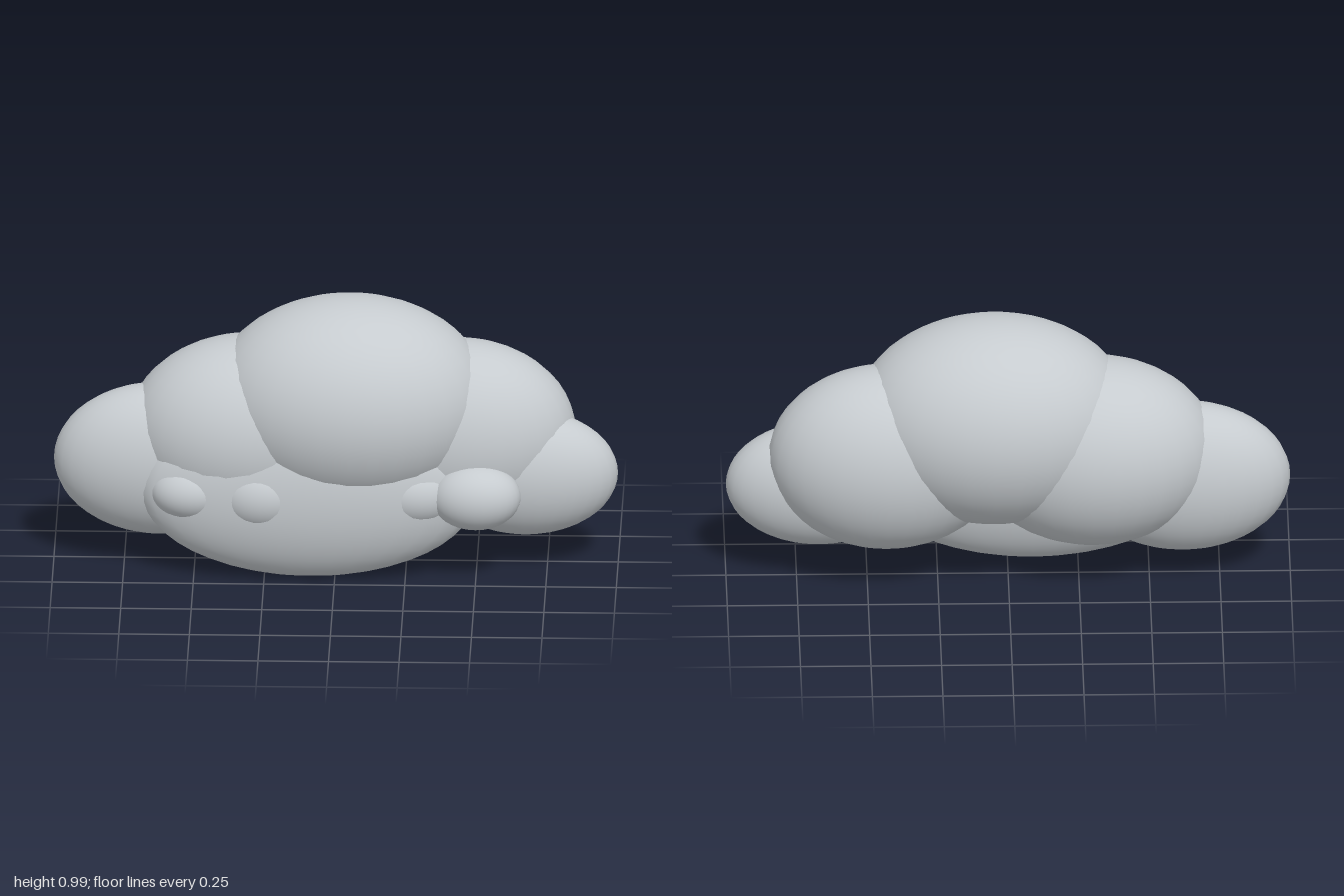
import * as THREE from 'three';

export function createModel() {
  const group = new THREE.Group();
  const cloudGrey = new THREE.MeshStandardMaterial({ color: 0xc6cbcf });
  cloudGrey.name = 'cloudGrey';
  const ball = new THREE.SphereGeometry(1, 32, 24);

  // A smooth ellipsoid puff: centre and radii
  function puff(name, centre, radii) {
    const mesh = new THREE.Mesh(ball, cloudGrey);
    mesh.name = name;
    mesh.position.set(...centre);
    mesh.scale.set(...radii);
    group.add(mesh);
  }

  // Large body puffs
  puff('mainPuff', [0.05, 0.61, 0], [0.5, 0.38, 0.365]);
  puff('rightPuff', [-0.3, 0.49, -0.015], [0.44, 0.345, 0.31]);
  puff('leftPuff', [0.43, 0.48, -0.035], [0.42, 0.34, 0.275]);

  // Outer ends
  puff('rightEndPuff', [-0.62, 0.38, 0], [0.38, 0.28, 0.19]);
  puff('leftEndPuff', [0.67, 0.35, 0.025], [0.33, 0.23, 0.165]);

  // Long low belly at the front
  puff('bellyPuff', [-0.09, 0.32, 0.15], [0.6, 0.32, 0.16]);

  // Row of small front bumps
  puff('outerRightBump', [-0.51, 0.325, 0.17], [0.145, 0.105, 0.115]);
  puff('innerRightBump', [-0.26, 0.325, 0.2], [0.16, 0.13, 0.12]);
  puff('innerLeftBump', [0.28, 0.325, 0.168], [0.16, 0.12, 0.12]);
  puff('outerLeftBump', [0.5, 0.325, 0.21], [0.16, 0.12, 0.115]);

  return group;
}
